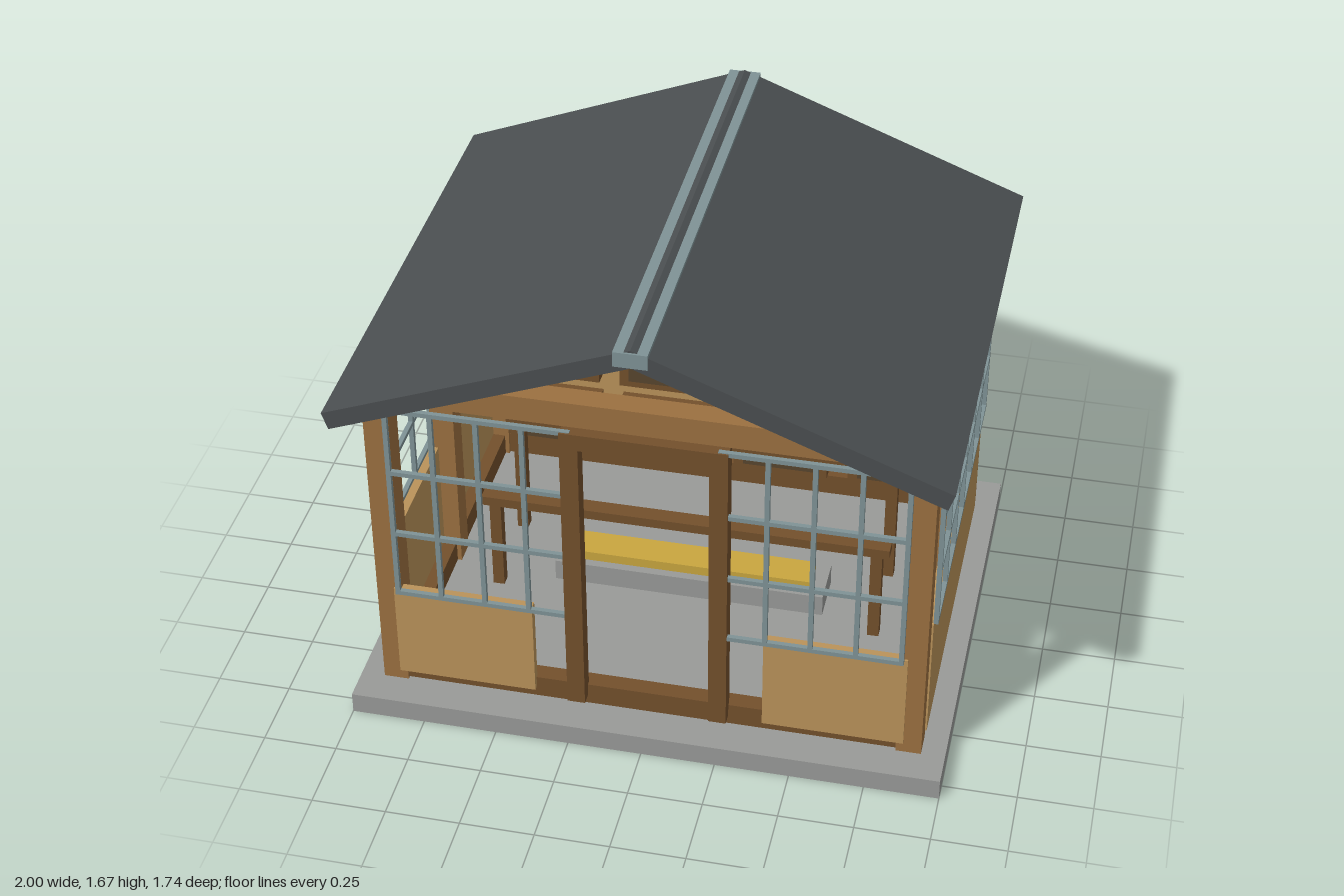
import * as THREE from 'three';

const material = (color, side = THREE.FrontSide) => new THREE.MeshStandardMaterial({ color, side });
const WOOD = material(0x9b7040), DARK = material(0x73502c), TAN = material(0xba935a);
const METAL = material(0x7f9396), STONE = material(0x999a98), ROOF = material(0x4a4e50);
const YELLOW = material(0xc9a63f), INSET = material(0x57452e);

export function createModel() {
  const model = new THREE.Group();

  // Box given by its lower and upper limit on each axis
  function box(name, mat, x0, x1, y0, y1, z0, z1, parent = model) {
    const mesh = new THREE.Mesh(new THREE.BoxGeometry(x1 - x0, y1 - y0, z1 - z0), mat);
    mesh.position.set((x0 + x1) / 2, (y0 + y1) / 2, (z0 + z1) / 2);
    mesh.name = name;
    parent.add(mesh);
    return mesh;
  }
  // The same box on the left (+x) and the right (-x)
  function pair(name, mat, x0, x1, ...rest) {
    box(name + 'Left', mat, x0, x1, ...rest);
    box(name + 'Right', mat, -x1, -x0, ...rest);
  }
  // Window grid in its own xy plane, from u0..u1 and v0..v1
  function lattice(name, u0, u1, columns, v0, v1, rows) {
    const group = new THREE.Group(), r = 0.008;
    group.name = name;
    for (let i = 0; i <= columns; i++) {
      const u = u0 + (u1 - u0) * i / columns;
      box('uprightBar', METAL, u - r, u + r, v0 - r, v1 + r, -r, r, group);
    }
    for (let j = 0; j <= rows; j++) {
      const v = v0 + (v1 - v0) * j / rows;
      box('crossBar', METAL, u0 - r, u1 + r, v - r, v + r, -r, r, group);
    }
    model.add(group);
    return group;
  }

  // Foundation slab and sills
  box('foundation', STONE, -1, 1, 0, 0.075, -0.81, 0.81);
  box('frontSill', DARK, -0.84, 0.84, 0.075, 0.155, 0.62, 0.68);
  box('backSill', DARK, -0.84, 0.84, 0.075, 0.155, -0.68, -0.62);
  pair('sideSill', DARK, 0.85, 0.91, 0.075, 0.155, -0.61, 0.61);

  // Posts and top beams
  for (const z of [-0.65, 0, 0.65]) {
    pair(z ? 'cornerPost' : 'middlePost', WOOD, 0.835, 0.92, 0.075, 1.25, z - 0.043, z + 0.043);
  }
  box('frontBeam', WOOD, -0.875, 0.875, 1.23, 1.32, 0.61, 0.69);
  box('backBeam', WOOD, -0.875, 0.875, 1.23, 1.32, -0.69, -0.61);
  pair('sideBeam', WOOD, 0.84, 0.91, 1.23, 1.29, -0.61, 0.61);

  // Wall panels
  box('backPanel', TAN, -0.86, 0.86, 0.12, 1.23, -0.705, -0.67);
  pair('sidePanel', TAN, 0.895, 0.926, 0.11, 0.57, -0.615, 0.615);
  pair('frontPanel', TAN, 0.387, 0.86, 0.115, 0.475, 0.67, 0.7);

  // Windows
  for (const s of [-1, 1]) {
    const side = lattice('sideWindow', -0.6, 0.6, 6, 0.575, 1.215, 3);
    side.rotation.y = Math.PI / 2;
    side.position.x = s * 0.932;
    const front = lattice('frontWindow', 0.245, 0.84, 4, 0.475, 1.22, 3);
    front.position.z = 0.71;
    if (s < 0) front.rotation.y = Math.PI;
  }

  // Door frame
  pair('doorPost', DARK, 0.21, 0.27, 0.11, 1.225, 0.665, 0.723);
  box('doorLintel', DARK, -0.21, 0.21, 1.165, 1.225, 0.665, 0.723);

  // Two rows of framed boxes along the back wall
  for (const y of [0.2, 0.505]) {
    for (const x of [-0.635, -0.2125, 0.2125, 0.635]) {
      box('wallBox', DARK, x - 0.173, x + 0.173, y, y + 0.235, -0.6, -0.54);
      box('wallBoxFace', INSET, x - 0.135, x + 0.135, y + 0.035, y + 0.2, -0.54, -0.523);
    }
  }

  // Two rails on legs, the rear one taller
  for (const [top, z] of [[0.57, -0.21], [0.465, 0.12]]) {
    box('rail', DARK, -0.715, 0.715, top - 0.035, top, z - 0.03, z + 0.03);
    pair('railLeg', DARK, 0.65, 0.69, 0.075, top - 0.035, z - 0.02, z + 0.02);
  }

  // Low plinth with a yellow plank
  box('plinth', STONE, -0.48, 0.48, 0.075, 0.155, -0.11, 0.07);
  box('plank', YELLOW, -0.43, 0.43, 0.155, 0.19, -0.075, 0.04);

  // Gabled roof, extruded along z
  const half = [[0.99, 1.293], [0.97, 1.235]];
  const outline = [[0, 1.61], ...half.slice().reverse(), [0, 1.675],
    ...half.map(([x, y]) => [-x, y])];
  const shape = new THREE.Shape(outline.map(([x, y]) => new THREE.Vector2(x, y)));
  const roof = new THREE.Mesh(
    new THREE.ExtrudeGeometry(shape, { depth: 1.73, bevelEnabled: false }), ROOF);
  roof.position.z = -0.865;
  roof.name = 'roof';
  model.add(roof);
  box('ridgeCap', METAL, -0.054, 0.054, 1.615, 1.667, -0.872, 0.872);

  return model;
}
